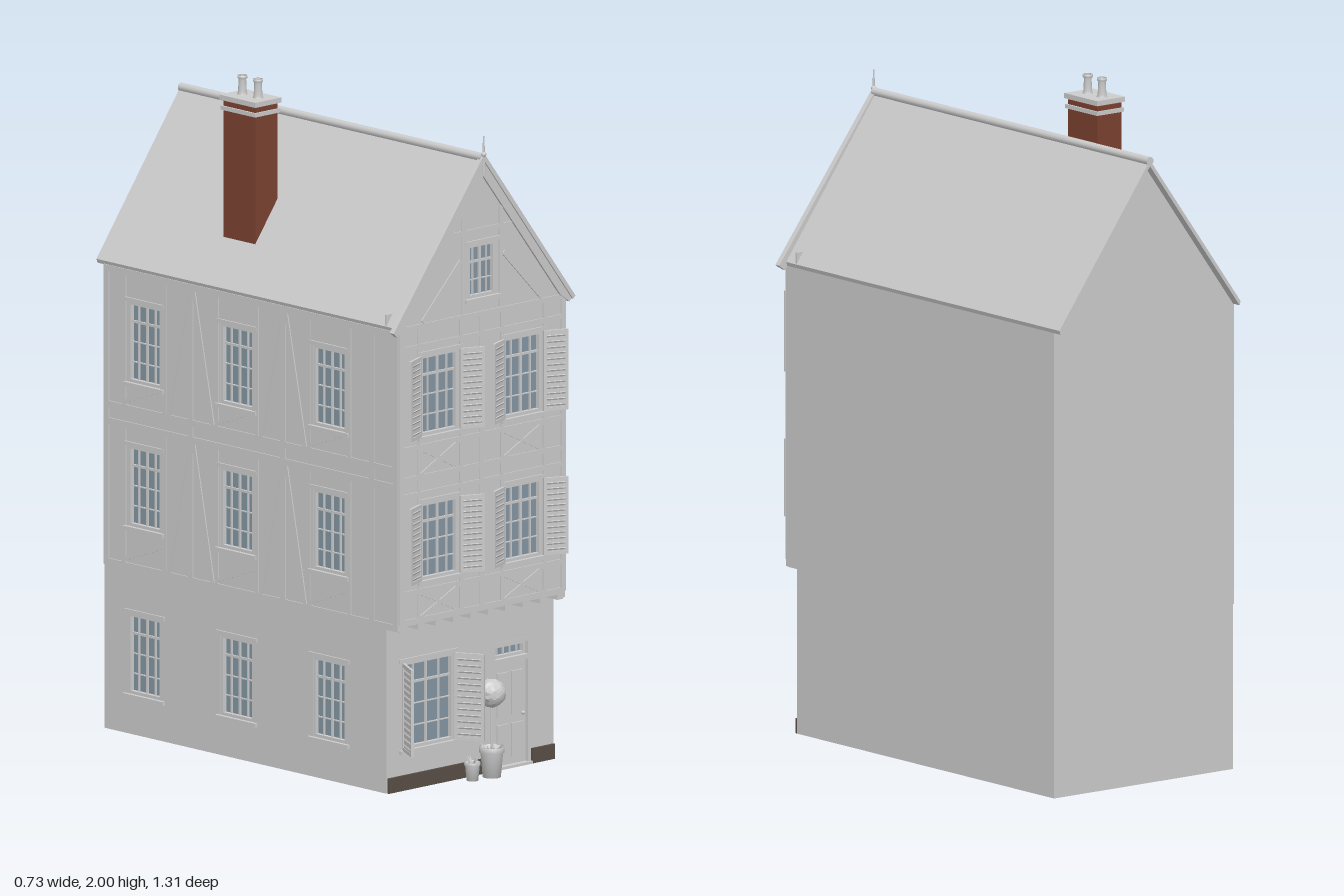
import * as THREE from 'three';

const mat = (color) => new THREE.MeshStandardMaterial({ color, side: THREE.DoubleSide });
const GREY = mat(0xcccccc), GLASS = mat(0x8496a3), BRICK = mat(0x7a4230), PLINTH = mat(0x5a5046);
const FLOOR = mat(0x3d2416), CURTAIN = mat(0xb9aa80);

function add(parent, name, geo, material = GREY, x = 0, y = 0, z = 0) {
  const m = new THREE.Mesh(geo, material);
  m.name = name;
  m.position.set(x, y, z);
  parent.add(m);
  return m;
}
const box = (p, name, w, h, d, x, y, z, m) => add(p, name, new THREE.BoxGeometry(w, h, d), m, x, y, z);

function group(parent, name, x = 0, y = 0, z = 0, ry = 0) {
  const g = new THREE.Group();
  g.name = name;
  g.position.set(x, y, z);
  g.rotation.y = ry;
  parent.add(g);
  return g;
}

// Flat wall from an outline with rectangular holes [x0, x1, y0, y1]; spans z0 to z0 + depth
function wall(parent, name, outline, holes, z0, depth, m) {
  const shape = new THREE.Shape(outline.map(([x, y]) => new THREE.Vector2(x, y)));
  for (const [x0, x1, y0, y1] of holes) {
    shape.holes.push(new THREE.Path([[x0, y0], [x0, y1], [x1, y1], [x1, y0]].map(([x, y]) => new THREE.Vector2(x, y))));
  }
  return add(parent, name, new THREE.ExtrudeGeometry(shape, { depth, bevelEnabled: false }), m, 0, 0, z0);
}

// Timber lying on a facade from a to b
function beam(parent, x0, y0, x1, y1, w = 0.016, d = 0.007) {
  const m = box(parent, 'timber', Math.hypot(x1 - x0, y1 - y0), w, d, (x0 + x1) / 2, (y0 + y1) / 2, 0);
  m.rotation.z = Math.atan2(y1 - y0, x1 - x0);
}

// Leaded window with frame, glazing bars, sill and lintel
function leadedWindow(parent, [x0, x1, y0, y1], cols, rows, sill = true) {
  const w = x1 - x0, h = y1 - y0, g = group(parent, 'window', (x0 + x1) / 2, (y0 + y1) / 2, 0);
  box(g, 'glass', w, h, 0.002, 0, 0, -0.015, GLASS);
  for (const s of [-1, 1]) {
    box(g, 'frameSide', 0.009, h, 0.014, s * (w / 2 - 0.0045), 0, -0.008);
    box(g, 'frameRail', w, 0.009, 0.014, 0, s * (h / 2 - 0.0045), -0.008);
  }
  for (let i = 1; i < cols; i++) box(g, 'mullion', i * 2 === cols ? 0.007 : 0.004, h, 0.008, -w / 2 + (w * i) / cols, 0, -0.012);
  for (let i = 1; i < rows; i++) box(g, 'glazingBar', w, i === rows - 1 ? 0.007 : 0.003, 0.008, 0, -h / 2 + (h * i) / rows, -0.012);
  if (sill) {
    box(g, 'sill', w + 0.03, 0.012, 0.018, 0, -h / 2 - 0.006, 0.001);
    box(g, 'lintel', w + 0.03, 0.012, 0.01, 0, h / 2 + 0.006, 0);
  }
}

// Louvred shutter swung out from a hinge; s is the side it opens toward
function shutter(parent, x, y0, y1, s, w, angle) {
  const h = y1 - y0, g = group(parent, 'shutter', x, (y0 + y1) / 2, 0.004, -s * angle);
  box(g, 'shutterPanel', w, h, 0.004, (s * w) / 2, 0, 0);
  for (const e of [-1, 1]) {
    box(g, 'shutterRail', w, 0.01, 0.008, (s * w) / 2, e * (h / 2 - 0.005), 0);
    box(g, 'shutterStile', 0.009, h, 0.008, s * (w / 2 + e * (w / 2 - 0.0045)), 0, 0);
  }
  for (let i = 1; i < 14; i++) box(g, 'louvre', w - 0.018, 0.006, 0.007, (s * w) / 2, -h / 2 + (h * i) / 14, 0).rotation.x = 0.5;
}

function pot(parent, x, z, r, h) {
  const pts = [[0, 0], [r * 0.72, 0], [r * 0.9, h * 0.8], [r, h * 0.82], [r, h], [r * 0.85, h], [r * 0.8, h * 0.88], [0, h * 0.88]];
  add(parent, 'plantPot', new THREE.LatheGeometry(pts.map(([a, b]) => new THREE.Vector2(a, b)), 18), GREY, x, 0, z);
}

export function createModel() {
  const model = new THREE.Group();
  model.name = 'townHouse';
  const X = 0.335, EAVE = 1.39, RIDGE = 1.85, JETTY = 0.49, BACK = -0.63;

  // Ground floor front with door opening
  const ground = group(model, 'groundFloorFront', 0, 0, 0.56);
  const shop = [-0.27, -0.065, 0.12, 0.38];
  wall(ground, 'groundWall', [[-X, 0], [0.09, 0], [0.09, 0.38], [0.245, 0.38], [0.245, 0], [X, 0], [X, 0.5], [-X, 0.5]], [shop], -0.025, 0.025);
  leadedWindow(ground, shop, 4, 4);
  shutter(ground, -0.27, 0.12, 0.38, -1, 0.096, 1.08);
  shutter(ground, -0.065, 0.12, 0.38, 1, 0.09, 1.05);
  box(ground, 'plinth', 0.42, 0.045, 0.01, -0.122, 0.0225, 0.002, PLINTH);
  box(ground, 'plinth', 0.088, 0.045, 0.01, 0.29, 0.0225, 0.002, PLINTH);
  for (let i = 0; i < 9; i++) box(ground, 'curtainFold', 0.013, 0.26, 0.008, -0.255 + i * 0.022, 0.25, -0.035, CURTAIN);

  // Door with fanlight and raised panels
  const door = group(ground, 'door', 0.1675, 0, -0.012);
  box(door, 'doorLeaf', 0.135, 0.315, 0.012, 0, 0.1575, -0.004);
  for (const s of [-1, 1]) {
    box(door, 'doorJamb', 0.012, 0.38, 0.02, s * 0.0715, 0.19, 0.003);
    for (const [y, h] of [[0.08, 0.1], [0.22, 0.13]]) box(door, 'doorPanel', 0.045, h, 0.006, s * 0.029, y, 0.004);
  }
  box(door, 'doorHead', 0.155, 0.012, 0.02, 0, 0.374, 0.003);
  box(door, 'doorTransom', 0.135, 0.014, 0.02, 0, 0.322, 0.003);
  leadedWindow(door, [-0.066, 0.066, 0.328, 0.369], 5, 1, false);
  box(door, 'doorstep', 0.155, 0.008, 0.03, 0, 0.004, 0.005);
  add(door, 'doorKnob', new THREE.SphereGeometry(0.006, 10, 8), GREY, 0.05, 0.155, 0.008);

  // Jettied upper front and gable
  const upper = group(model, 'upperFront', 0, 0, 0.61);
  const holes = [[-0.055, 0.055, 1.44, 1.6]];
  for (const [y0, y1] of [[0.63, 0.86], [1.06, 1.3]]) holes.push([-0.245, -0.095, y0, y1], [0.09, 0.24, y0, y1]);
  wall(upper, 'upperWall', [[-X, 0.505], [X, 0.505], [X, EAVE], [0, RIDGE], [-X, EAVE]], holes, -0.025, 0.025);
  box(upper, 'jettySoffit', 2 * X, 0.008, 0.06, 0, 0.505, -0.032);
  for (let i = 0; i < 10; i++) box(upper, 'joistEnd', 0.022, 0.022, 0.055, -0.315 + i * 0.07, 0.497, -0.0275);
  for (const [i, h] of holes.entries()) {
    leadedWindow(upper, h, 4, i ? 4 : 3);
    if (!i) continue;
    shutter(upper, h[0] - 0.004, h[2], h[3], -1, 0.076, 0.4);
    shutter(upper, h[1] + 0.004, h[2], h[3], 1, 0.076, 0.4);
  }
  // Front timber frame
  for (const y of [0.515, 0.6, 0.89, 0.94, 1.03, 1.33, 1.39]) beam(upper, -0.33, y, 0.33, y, 0.014);
  for (const x of [-0.325, -0.003, 0.325]) beam(upper, x, 0.51, x, 1.39, 0.018);
  for (const c of [-0.17, 0.165]) {
    for (const [y0, y1] of [[0.515, 0.6], [0.94, 1.03]]) {
      beam(upper, c - 0.09, y0, c + 0.09, y1, 0.01);
      beam(upper, c - 0.09, y1, c + 0.09, y0, 0.01, 0.006);
    }
    for (const s of [-1, 1]) beam(upper, c + s * 0.085, 0.515, c + s * 0.085, 1.39, 0.012);
  }
  for (const s of [-1, 1]) {
    beam(upper, s * 0.075, 1.4, s * 0.075, 1.7, 0.014);
    beam(upper, s * 0.24, 1.4, s * 0.085, 1.56, 0.014);
  }
  beam(upper, -0.12, 1.64, 0.12, 1.64, 0.014);

  // Side walls; the right one has windows and timbers, in local x = depth
  const profile = [[BACK, 0], [0.56, 0], [0.56, JETTY], [0.61, JETTY], [0.61, EAVE], [BACK, EAVE]];
  const plain = group(model, 'leftSide', X, 0, 0, -Math.PI / 2);
  wall(plain, 'leftWall', profile, [], 0, 0.01);
  const side = group(model, 'rightSide', -X, 0, 0, -Math.PI / 2);
  const centres = [-0.46, -0.07, 0.32], sideHoles = [];
  for (const z of centres) for (const [y0, y1] of [[0.12, 0.36], [0.62, 0.86], [1.05, 1.29]]) sideHoles.push([z - 0.07, z + 0.07, y0, y1]);
  wall(side, 'rightWall', profile, sideHoles, -0.025, 0.025);
  for (const h of sideHoles) leadedWindow(side, h, 4, 4);
  for (const y of [0.5, 0.92, 0.97, 1.375]) beam(side, BACK, y, 0.61, y, 0.02);
  for (const z of [-0.62, -0.265, 0.125, 0.5, 0.6]) beam(side, z, 0.5, z, 1.38, 0.02);
  for (const c of centres) for (const [y0, y1] of [[0.5, 0.92], [0.97, 1.375]]) {
    for (const s of [-1, 1]) beam(side, c + s * 0.085, y0, c + s * 0.085, y1, 0.014);
    if (c < 0.3) beam(side, c + 0.1, y0, c + 0.185, y1, 0.014);
    if (c > -0.4) beam(side, c - 0.1, y0, c - 0.185, y1, 0.014);
    beam(side, c - 0.08, y0 + 0.02, c + 0.08, y0 + 0.08, 0.01);
  }
  // Small rooms behind the ground floor side windows
  for (const [i, c] of [0xb8b49a, 0x9fb08f, 0x98a4ab].entries()) {
    box(side, 'room', 0.22, 0.28, 0.15, centres[i], 0.245, -0.105, mat(c));
    box(side, 'roomFloor', 0.22, 0.006, 0.15, centres[i], 0.102, -0.105, FLOOR);
  }

  // Back wall
  wall(model, 'backWall', [[-X, 0], [X, 0], [X, EAVE], [0, RIDGE], [-X, EAVE]], [], BACK, 0.01);

  // Roof slopes, ridge cap and gable boards
  for (const s of [-1, 1]) {
    wall(model, 'roofSlope', [[0, 1.858], [s * 0.339, 1.395], [s * 0.335, 1.383], [0, 1.84]], [], -0.66, 1.27);
    wall(model, 'bargeBoard', [[0, 1.867], [s * 0.365, 1.387], [s * 0.345, 1.372], [s * 0.31, 1.397], [0, 1.8]], [], 0.604, 0.013);
    wall(model, 'bargeMoulding', [[0, 1.867], [s * 0.365, 1.387], [s * 0.355, 1.379], [0, 1.845]], [], 0.604, 0.018);
    box(model, 'eaveHook', 0.025, 0.04, 0.006, s * 0.325, 1.41, 0.56);
  }
  const ridge = add(model, 'ridgeCap', new THREE.CylinderGeometry(0.013, 0.013, 1.275, 10), GREY, 0, 1.855, -0.0225);
  ridge.rotation.x = Math.PI / 2;
  add(model, 'finial', new THREE.CylinderGeometry(0.002, 0.006, 0.11, 8), GREY, 0, 1.865, 0.618);
  add(model, 'finialKnob', new THREE.SphereGeometry(0.008, 10, 8), GREY, 0, 1.865, 0.618);

  // Chimney
  const chimney = group(model, 'chimney', -0.203, 0, -0.153);
  box(chimney, 'chimneyShaft', 0.09, 0.48, 0.135, 0, 1.685, 0, BRICK);
  box(chimney, 'chimneyBand', 0.102, 0.012, 0.147, 0, 1.905, 0);
  box(chimney, 'chimneyCap', 0.105, 0.015, 0.152, 0, 1.936, 0);
  const potProfile = [[0.016, 0], [0.013, 0.008], [0.011, 0.045], [0.015, 0.05], [0.015, 0.057], [0.009, 0.057], [0.009, 0.01]];
  for (const z of [-0.034, 0.032]) {
    add(chimney, 'chimneyPot', new THREE.LatheGeometry(potProfile.map(([a, b]) => new THREE.Vector2(a, b)), 16), GREY, 0, 1.943, z);
  }

  // Potted topiary and small plants by the door
  pot(model, 0.04, 0.61, 0.037, 0.09);
  add(model, 'topiaryStem', new THREE.CylinderGeometry(0.004, 0.004, 0.14, 8), GREY, 0.04, 0.15, 0.61);
  const ball = new THREE.IcosahedronGeometry(0.042, 3), p = ball.attributes.position, v = new THREE.Vector3();
  for (let i = 0; i < p.count; i++) {
    v.fromBufferAttribute(p, i);
    v.multiplyScalar(1 + 0.06 * Math.sin(v.x * 311) * Math.cos(v.y * 277 + v.z * 199));
    p.setXYZ(i, v.x, v.y, v.z);
  }
  ball.computeVertexNormals();
  add(model, 'topiaryBall', ball, GREY, 0.04, 0.25, 0.61);
  pot(model, -0.033, 0.605, 0.024, 0.055);
  for (let i = 0; i < 12; i++) {
    const a = i * 2.4, big = i % 2, r = big ? 0.026 : 0.014;
    const leaf = add(model, 'leaf', new THREE.ConeGeometry(0.005, 0.028, 4), GREY,
      (big ? 0.04 : -0.033) + Math.cos(a) * r, big ? 0.09 : 0.06, (big ? 0.61 : 0.605) + Math.sin(a) * r);
    leaf.rotation.set(Math.sin(a) * 0.7, 0, -Math.cos(a) * 0.7);
  }
  return model;
}
